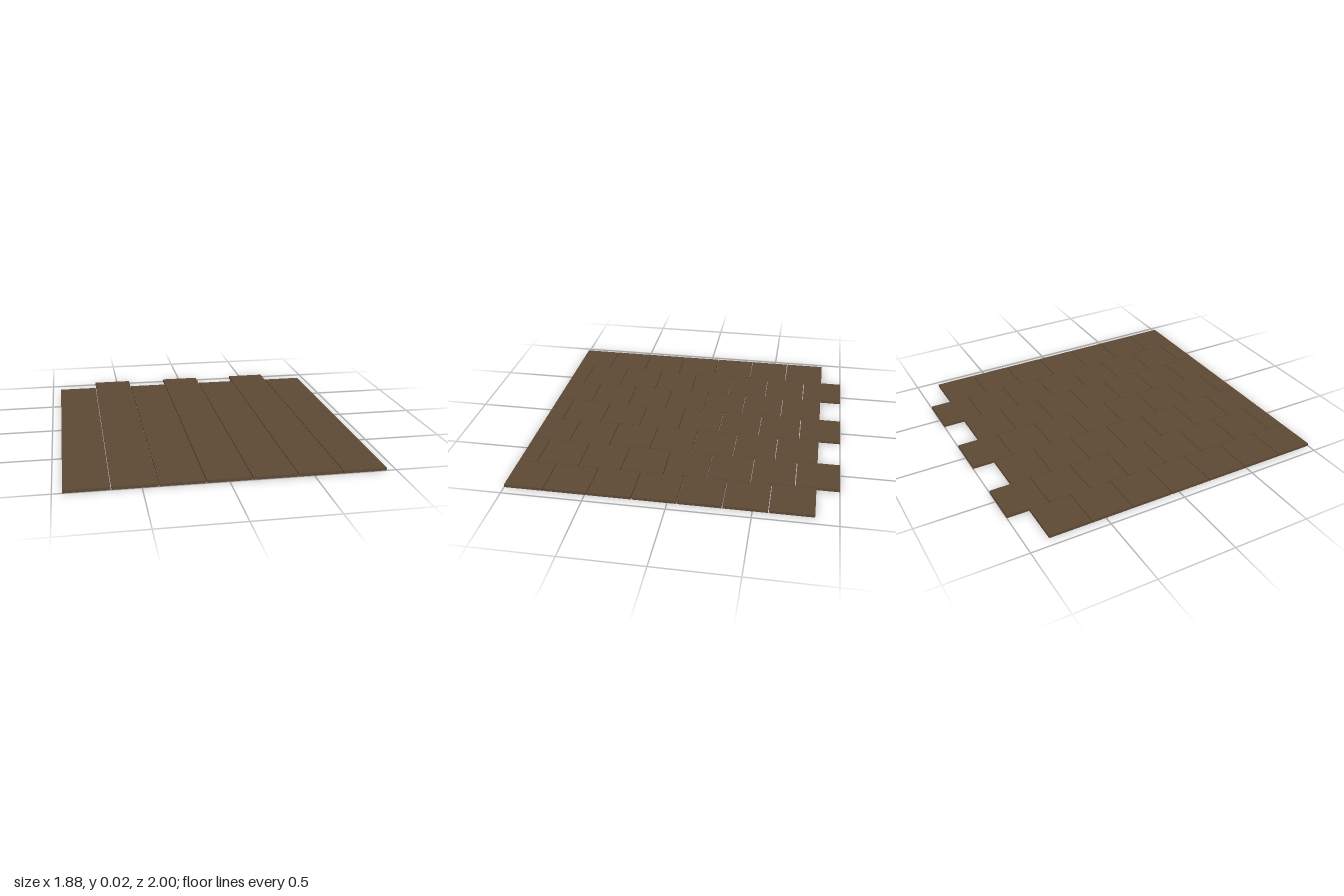
import * as THREE from 'three';

const PITCH = 0.2695; // spacing from tile to tile
const GAP = 0.005; // open joint between tiles
const THICKNESS = 0.018;
const COLUMNS = 7;
const FRONT = 1; // all columns are cut flush here

export function createModel() {
  const group = new THREE.Group();
  group.name = 'pavedFloor';
  const material = new THREE.MeshStandardMaterial({ color: 0x5e4a34 });

  for (let c = 0; c < COLUMNS; c++) {
    const column = new THREE.Group();
    column.name = `tileColumn${c + 1}`;
    column.position.x = (c - (COLUMNS - 1) / 2) * PITCH;

    // every second column is shifted half a tile backwards
    const back = c % 2 ? -1 : -0.86;
    for (let i = 0, z = back; z < FRONT - GAP; i++, z = back + i * PITCH) {
      // the last tile is trimmed at the front edge
      const length = Math.min(PITCH - GAP, FRONT - z);
      const tile = new THREE.Mesh(new THREE.BoxGeometry(PITCH - GAP, THICKNESS, length), material);
      tile.name = `tile${i + 1}`;
      tile.position.set(0, THICKNESS / 2, z + length / 2);
      column.add(tile);
    }
    group.add(column);
  }
  return group;
}
